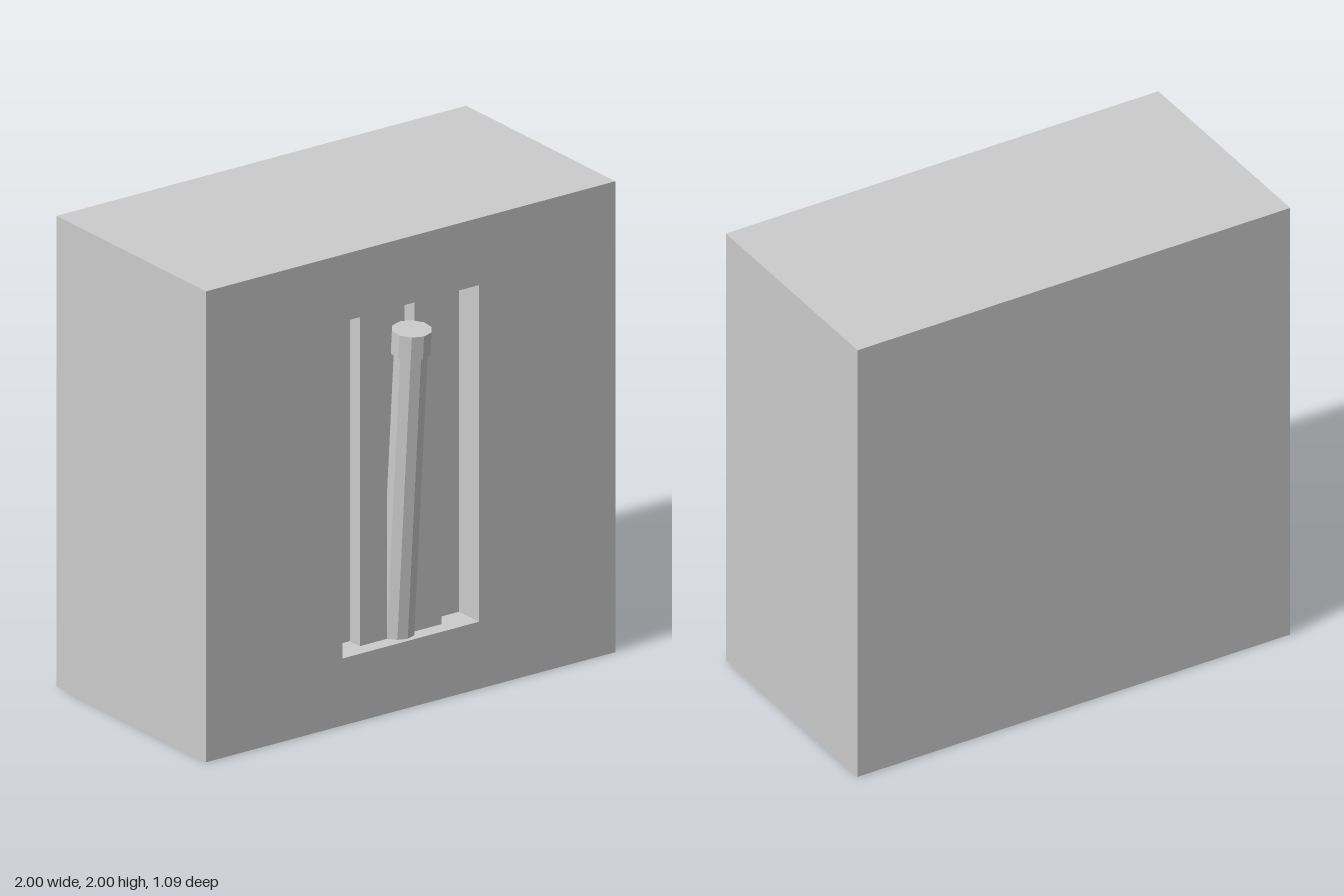
import * as THREE from 'three';

const FRONT = 0.455, BACK = -0.545;      // block faces along z
const RECESS = { w: 0.667, h: 1.43, d: 0.133, y: 1.0 };

const material = new THREE.MeshStandardMaterial({ color: 0xcccccc, flatShading: true });

function part(name, geometry, x, y, z) {
  const mesh = new THREE.Mesh(geometry, material);
  mesh.name = name;
  mesh.position.set(x, y, z);
  return mesh;
}

// Box without its front face; inward = true turns the faces to the inside
function openBox(w, h, d, inward) {
  const geometry = new THREE.BoxGeometry(w, h, d);
  const all = Array.from(geometry.index.array);
  const kept = [...all.slice(0, 24), ...all.slice(30)];
  geometry.setIndex(inward ? kept.reverse() : kept);
  geometry.clearGroups();
  geometry.computeVertexNormals();
  return geometry;
}

function rectangle(PathType, w, h) {
  return new PathType([[-1, -1], [1, -1], [1, 1], [-1, 1]]
    .map(([x, y]) => new THREE.Vector2(x * w / 2, y * h / 2)));
}

export function createModel() {
  const model = new THREE.Group();
  model.name = 'wallLever';

  // Block: open shell, front face with a window, and the recess lining
  const block = new THREE.Group();
  block.name = 'block';
  const face = rectangle(THREE.Shape, 2, 2);
  face.holes.push(rectangle(THREE.Path, RECESS.w, RECESS.h));
  block.add(
    part('blockShell', openBox(2, 2, FRONT - BACK, false), 0, 1, (FRONT + BACK) / 2),
    part('blockFront', new THREE.ShapeGeometry(face), 0, RECESS.y, FRONT),
    part('recess', openBox(RECESS.w, RECESS.h, RECESS.d, true), 0, RECESS.y, FRONT - RECESS.d / 2)
  );
  model.add(block);

  // Two raised rails with the lever slot between them
  for (const side of [-1, 1]) {
    model.add(part(side > 0 ? 'leftRail' : 'rightRail',
      new THREE.BoxGeometry(0.133, RECESS.h, 0.067),
      side * 0.1335, RECESS.y, FRONT - RECESS.d + 0.0335));
  }

  // Ten-sided lever leaning forward from the foot of the slot
  const lever = new THREE.Group();
  lever.name = 'lever';
  lever.position.set(0, 0.285, 0.366);
  lever.rotation.x = THREE.MathUtils.degToRad(4.2);
  lever.add(
    part('leverShaft', new THREE.CylinderGeometry(0.07, 0.07, 1.24, 10), 0, 0.62, 0),
    part('leverKnob', new THREE.CylinderGeometry(0.082, 0.082, 0.1, 10), 0, 1.278, 0)
  );
  model.add(lever);

  return model;
}
